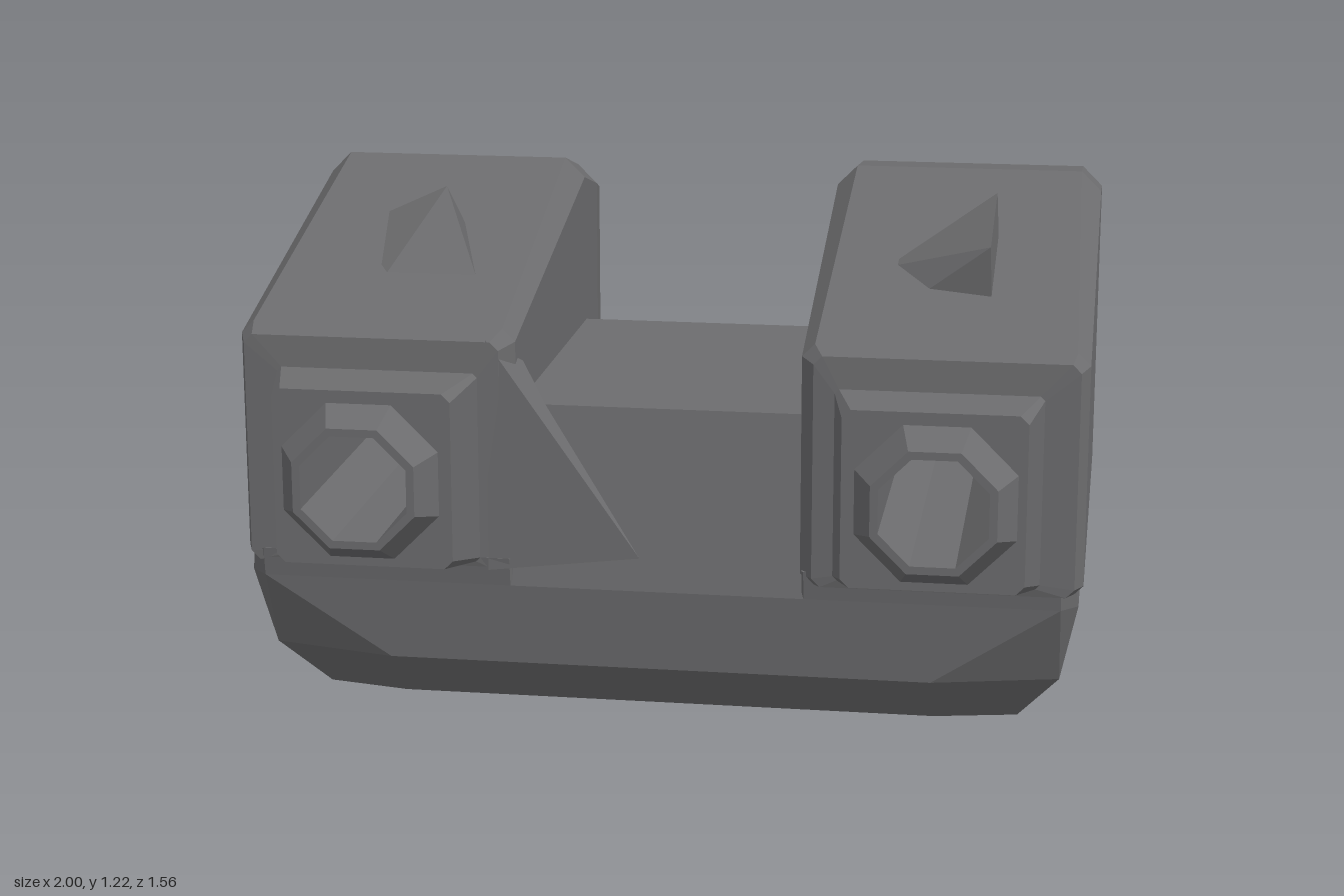
import * as THREE from 'three';

const grey = new THREE.MeshStandardMaterial({ color: 0x6c6c6e });
grey.name = 'gunmetal grey';

// Eight-sided chamfered rectangle: ct = upper chamfer, ci = lower inner, ox / oy = lower outer
const rect = (xi, xo, yb, yt, ct, ci, ox = ci, oy = ox) => [
  [xi + ci, yb], [xo - ox, yb], [xo, yb + oy], [xo, yt - ct],
  [xo - ct, yt], [xi + ct, yt], [xi, yt - ct], [xi, yb + ci],
];

// Octagon matching the point order of rect
const oct = (cx, cy, r) => Array.from({ length: 8 }, (_, i) => {
  const a = (-112.5 + i * 45) * Math.PI / 180;
  return [cx + r * Math.cos(a), cy + r * Math.sin(a)];
});

const atZ = (z, pts) => pts.map(([x, y]) => [x, y, z]);
const atY = (y, pts) => pts.map(([x, d]) => [x, y, -d]);

// Flat-faced mesh from a list of triangle corners
function facets(name, corners) {
  const geo = new THREE.BufferGeometry();
  geo.setAttribute('position', new THREE.Float32BufferAttribute(corners.flat(), 3));
  geo.computeVertexNormals();
  const mesh = new THREE.Mesh(geo, grey);
  mesh.name = name;
  return mesh;
}

// Skins consecutive rings; flip reverses the faces for the mirrored side
function loft(name, rings, { flip = false, caps = false } = {}) {
  const corners = [];
  const tri = (a, b, c) => corners.push(a, flip ? c : b, flip ? b : c);
  for (let k = 0; k < rings.length - 1; k++) {
    const a = rings[k], b = rings[k + 1], n = a.length;
    for (let i = 0; i < n; i++) {
      const j = (i + 1) % n;
      tri(a[i], b[i], b[j]);
      tri(a[i], b[j], a[j]);
    }
  }
  if (caps) {
    const a = rings[0], b = rings[rings.length - 1];
    for (let i = 1; i < a.length - 1; i++) {
      tri(a[0], a[i], a[i + 1]);
      tri(b[0], b[i + 1], b[i]);
    }
  }
  return facets(name, corners);
}

const wedge = (name, p, faces) => facets(name, faces.flat().map(i => p[i]));

// One side housing with its square collar, muzzle, open bore and lower hull
function pod(side) {
  const g = new THREE.Group();
  const left = side > 0;
  g.name = left ? 'leftPod' : 'rightPod';
  const flip = !left;
  const mirror = rings => rings.map(r => r.map(([x, y, z]) => [x * side, y, z]));
  const tip = atZ(0.78, oct(0.665, 0.635, 0.135));
  const collar = atZ(left ? 0.57 : 0.55, rect(0.42, 0.9, 0.4, 0.86, 0.01, 0.01));

  // The left pod's rear is cut away diagonally below its bore
  const back = atZ(-0.78, left
    ? rect(0.36, 0.97, 0.34, 1.07, 0.02, 0.02, 0.55, 0.32)
    : rect(0.36, 0.97, 0.33, 1.07, 0.02, 0.02));
  const breech = atZ(-0.78, left ? oct(0.67, 0.66, 0.13) : oct(0.68, 0.61, 0.14));

  g.add(loft('muzzle', mirror([
    tip,
    atZ(0.78, oct(0.665, 0.635, 0.155)),
    atZ(0.71, oct(0.665, 0.635, 0.2)),
    atZ(0.71, rect(0.45, 0.87, 0.43, 0.85, 0.02, 0.02)),
    collar,
  ]), { flip }));
  g.add(loft('housing', mirror([
    collar,
    atZ(left ? 0.565 : 0.545, rect(0.37, 0.98, 0.38, 0.935, 0.02, 0.02)),
    atZ(left ? 0.53 : 0.49, rect(0.34, 1, 0.38, 0.955, 0.03, 0.02)),
    atZ(-0.39, rect(0.33, 1, 0.38, 1.2, 0.05, 0.02)),
    atZ(-0.57, left
      ? rect(0.33, 1, 0.15, 1.18, 0.05, 0.03, 0.1, 0.25)
      : rect(0.33, 1, 0.15, 1.15, 0.05, 0.03, 0.06, 0.16)),
    back,
    breech,
  ]), { flip }));
  g.add(loft('bore', mirror([breech, tip]), { flip }));

  // Lower hull, chamfered towards the floor and swept back at its outer front corner
  g.add(loft('hull', mirror([
    atY(0.41, rect(0.345, 0.98, -0.55, 0.55, 0.005, 0.005, 0.03)),
    atY(0.34, rect(0.345, 0.99, -0.54, 0.57, 0.005, 0.005, 0.04)),
    atY(0.14, rect(0.345, 0.95, -0.52, 0.56, 0.005, 0.005, 0.3, 0.07)),
    atY(0, rect(0.345, 0.85, -0.37, 0.4, 0.005, 0.005, 0.2, 0.04)),
  ]), { flip, caps: true }));
  return g;
}

export function createModel() {
  const model = new THREE.Group();
  model.name = 'twinPodUnit';
  model.add(pod(1), pod(-1));

  // Bridge between the pods, with an undercut back above a sloping ledge
  const profile = [
    [0.37, 0], [-0.4, 0], [-0.52, 0.12], [-0.4, 0.28], [-0.52, 0.73],
    [-0.4, 0.77], [0.47, 0.77], [0.54, 0.34], [0.52, 0.14],
  ];
  model.add(loft('bridge', [0.36, -0.36].map(x => profile.map(([z, y]) => [x, y, z]))));

  // Front gusset on the right pod
  model.add(wedge('gusset', [
    [-0.4, 0.94, 0.545], [-0.4, 0.38, 0.55], [-0.04, 0.42, 0.535], [-0.27, 0.77, 0.48], [-0.33, 0.87, 0.45],
  ], [[0, 1, 2], [0, 2, 3], [0, 3, 4]]));

  // Sight on the left pod: slanted outer blade
  model.add(wedge('leftSight', [
    [0.76, 1.0, 0.28], [0.76, 1.08, -0.04], [0.5, 1.05, 0.12], [0.56, 0.99, 0.24],
    [0.755, 1.14, 0.28], [0.755, 1.215, 0],
  ], [[0, 1, 5], [0, 5, 4], [1, 2, 5], [2, 3, 4], [2, 4, 5], [3, 0, 4]]));

  // Sight on the right pod: leaning pyramid
  model.add(wedge('rightSight', [
    [-0.77, 1.07, -0.04], [-0.56, 1.07, -0.04], [-0.47, 1.0, 0.27], [-0.72, 1.0, 0.27],
    [-0.6, 1.2, 0.03], [-0.75, 1.13, 0.02],
  ], [[0, 4, 1], [1, 4, 2], [2, 4, 3], [3, 4, 5], [0, 5, 4], [0, 3, 5]]));

  return model;
}
